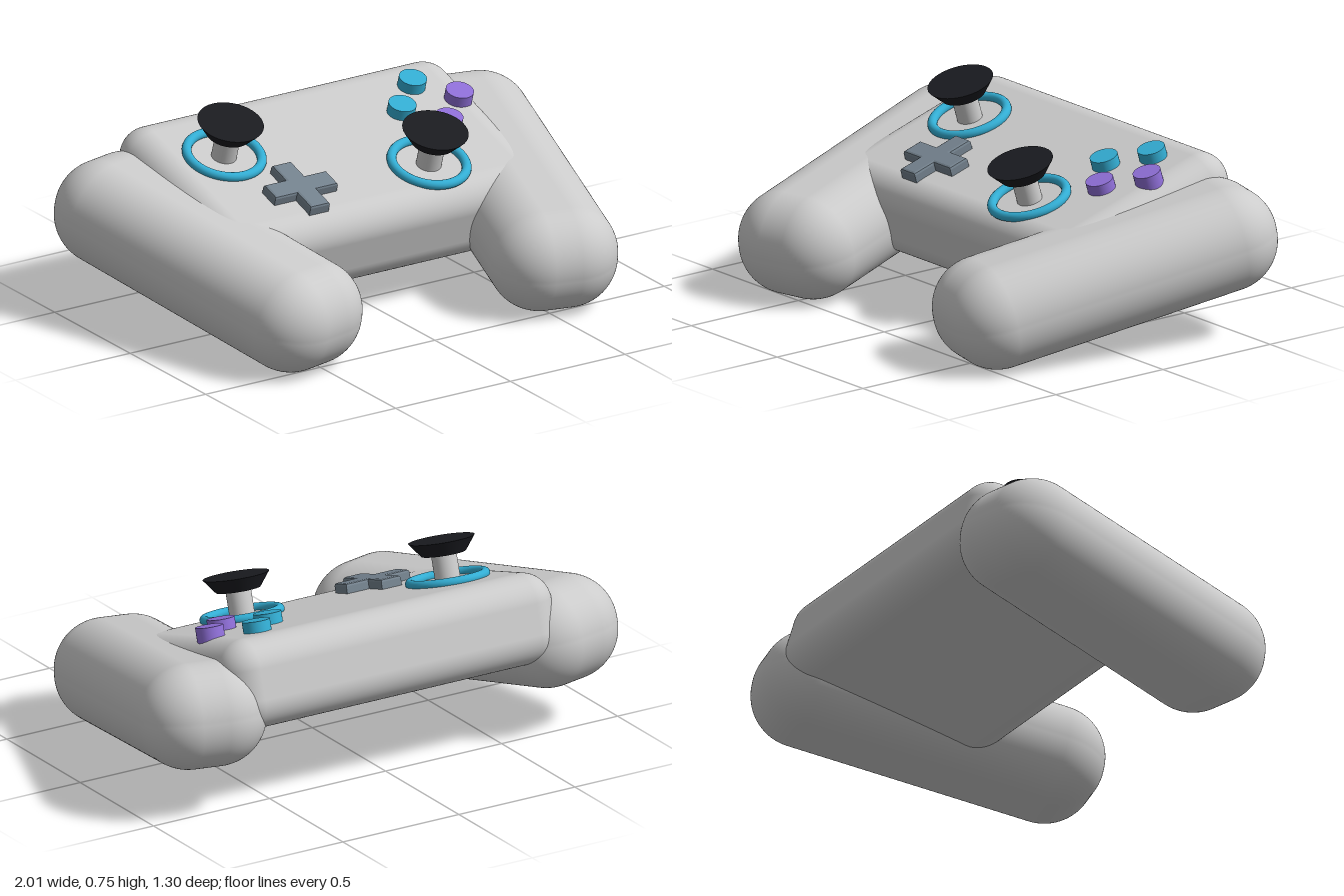
import * as THREE from 'three';
import { RoundedBoxGeometry } from 'three/addons/geometries/RoundedBoxGeometry.js';

const paint = (color) => new THREE.MeshStandardMaterial({ color });
const grey = paint(0xcccccc);
const teal = paint(0x33aed4);
const purple = paint(0x8f6fd8);
const slate = paint(0x74828e);
const black = paint(0x1a1b20);

function add(parent, name, geometry, material, x = 0, y = 0, z = 0) {
  const mesh = new THREE.Mesh(geometry, material);
  mesh.name = name;
  mesh.position.set(x, y, z);
  parent.add(mesh);
  return mesh;
}

// Plus-shaped pad with softened edges, lying flat
function crossGeometry(arm, half, height, bevel) {
  const a = arm - bevel, h = half - bevel;
  const shape = new THREE.Shape([
    [-h, -a], [h, -a], [h, -h], [a, -h], [a, h], [h, h],
    [h, a], [-h, a], [-h, h], [-a, h], [-a, -h], [-h, -h],
  ].map(([x, y]) => new THREE.Vector2(x, y)));
  const geometry = new THREE.ExtrudeGeometry(shape, {
    depth: height - 2 * bevel, bevelEnabled: true,
    bevelThickness: bevel, bevelSize: bevel, bevelSegments: 2,
  });
  geometry.translate(0, 0, bevel - height / 2);
  return geometry.rotateX(-Math.PI / 2);
}

// Thumbstick: accent ring, shaft and flared cap
function thumbstick(name, x, y, z) {
  const stick = new THREE.Group();
  stick.name = name;
  stick.position.set(x, y, z);
  add(stick, 'stickRing', new THREE.TorusGeometry(0.139, 0.018, 16, 64).rotateX(Math.PI / 2),
    teal, 0, 0.008, 0);
  add(stick, 'stickShaft', new THREE.CylinderGeometry(0.047, 0.047, 0.14, 32), grey, 0, 0.05, 0);
  add(stick, 'stickCap', new THREE.CylinderGeometry(0.123, 0.083, 0.053, 40), black, 0, 0.127, 0);
  return stick;
}

export function createModel() {
  const model = new THREE.Group();
  model.name = 'gameController';

  // Tilted centre body; the controls live in its frame
  const face = new THREE.Group();
  face.name = 'bodyAssembly';
  face.position.set(0, 0.385, -0.21);
  face.rotation.x = 0.297;
  model.add(face);
  const top = 0.168;
  add(face, 'body', new RoundedBoxGeometry(1.41, 2 * top, 0.833, 8, 0.11), grey);

  // Hand grips, mirrored
  for (const side of [-1, 1]) {
    const grip = add(model, side > 0 ? 'leftGrip' : 'rightGrip',
      new RoundedBoxGeometry(0.484, 0.394, 1.318, 12, 0.19), grey, side * 0.657, 0.286, -0.004);
    grip.rotation.set(0.188, -side * 0.235, 0, 'YXZ');
  }

  // Thumbsticks
  face.add(thumbstick('rightThumbstick', -0.43, top, -0.088));
  face.add(thumbstick('leftThumbstick', 0.275, top, 0.211));

  // Directional pad
  add(face, 'directionPad', crossGeometry(0.136, 0.042, 0.06, 0.01), slate, -0.28, top + 0.007, 0.197);

  // Four buttons in a diamond
  const buttons = [
    ['backButton', 0, -0.126, teal], ['innerButton', -0.125, 0, teal],
    ['outerButton', 0.125, 0, purple], ['frontButton', 0, 0.126, purple],
  ];
  for (const [name, dx, dz, material] of buttons) {
    add(face, name, new THREE.CylinderGeometry(0.052, 0.052, 0.06, 32), material,
      0.474 + dx, top + 0.011, -0.1 + dz);
  }

  return model;
}
